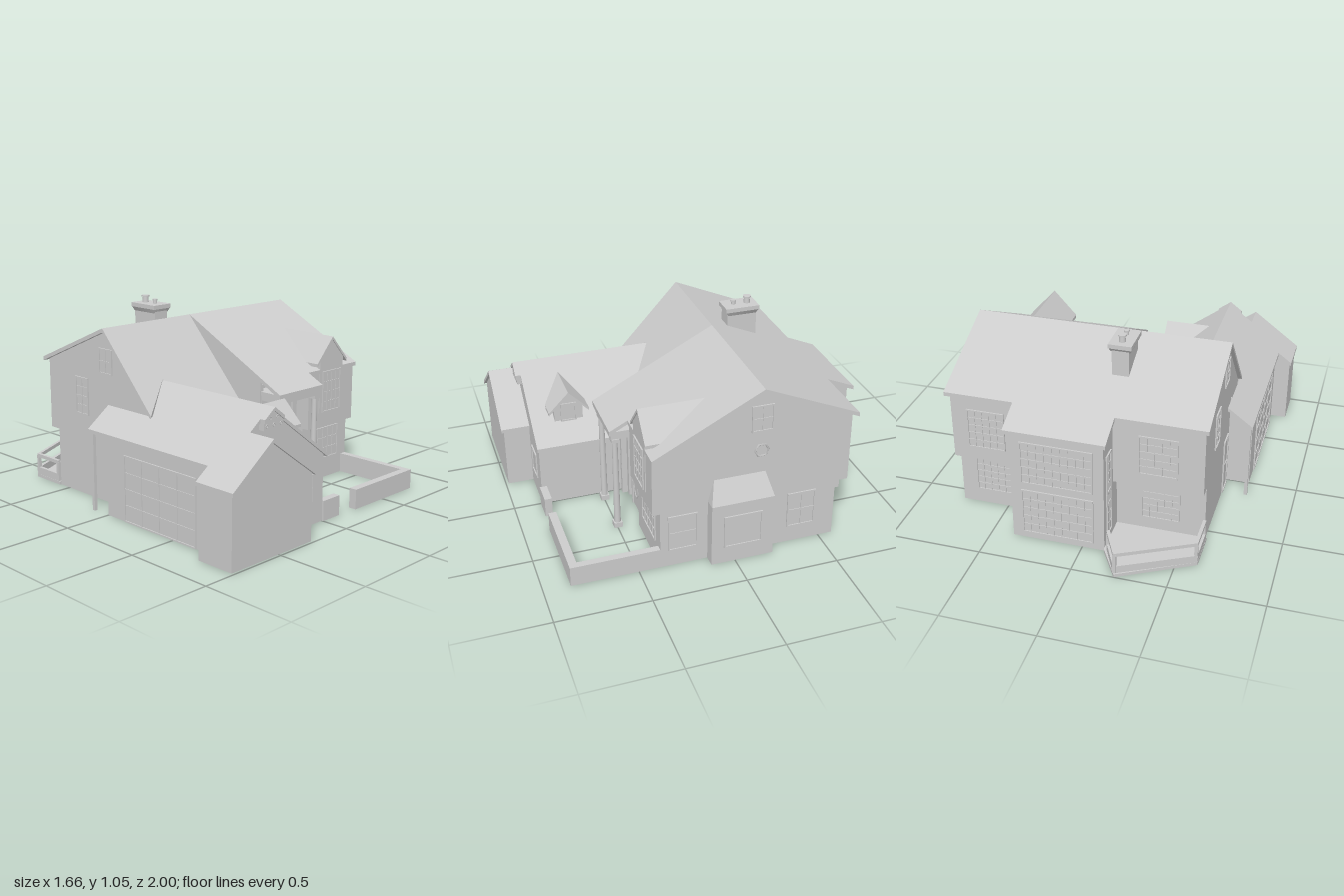
import * as THREE from 'three';

const mat = new THREE.MeshStandardMaterial({ color: 0xcccccc, side: THREE.DoubleSide });
const PI = Math.PI;

export function createModel() {
  const house = new THREE.Group();
  house.name = 'house';

  const add = (name, geo, parent = house) => {
    const m = new THREE.Mesh(geo, mat);
    m.name = name;
    parent.add(m);
    return m;
  };
  const shapeOf = pts => new THREE.Shape(pts.map(p => new THREE.Vector2(p[0], p[1])));
  // box given by its limits
  const box = (name, x0, x1, y0, y1, z0, z1, parent) => add(name,
    new THREE.BoxGeometry(x1 - x0, y1 - y0, z1 - z0)
      .translate((x0 + x1) / 2, (y0 + y1) / 2, (z0 + z1) / 2), parent);
  // wall drawn in (x, y); its outer face lies at z, thickness goes inward
  const T = 0.012;
  const wallZ = (name, pts, z, out = 1) => add(name,
    new THREE.ExtrudeGeometry(shapeOf(pts), { depth: T, bevelEnabled: false })
      .translate(0, 0, out > 0 ? z - T : z));
  // wall drawn in (z, y); its outer face lies at x
  const wallX = (name, pts, x, out = 1) => add(name,
    new THREE.ExtrudeGeometry(shapeOf(pts.map(p => [-p[0], p[1]])), { depth: T, bevelEnabled: false })
      .rotateY(PI / 2).translate(out > 0 ? x - T : x, 0, 0));
  const rect = (a, b, y0, y1) => [[a, y0], [b, y0], [b, y1], [a, y1]];
  // slab over a plan in (x, z) whose top follows a height rule
  const slab = (name, plan, height, t = 0.022) => {
    const g = new THREE.ExtrudeGeometry(shapeOf(plan.map(p => [p[0], -p[1]])), { depth: t, bevelEnabled: false })
      .rotateX(-PI / 2);
    const p = g.attributes.position;
    for (let i = 0; i < p.count; i++) p.setY(i, p.getY(i) - t + height(p.getX(i), p.getZ(i)));
    g.computeVertexNormals();
    return add(name, g);
  };
  // framed window with glazing bars, facing +z before turning
  const win = (name, x, y, z, w, h, nx, ny, turn = 0) => {
    const g = new THREE.Group(), f = 0.008;
    g.name = name;
    box('pane', -w / 2, w / 2, -h / 2, h / 2, -0.004, 0.002, g);
    for (const s of [-1, 1]) {
      box('frameSide', s * w / 2 - f / 2, s * w / 2 + f / 2, -h / 2, h / 2, 0, 0.008, g);
      box('frameRail', -w / 2 - f / 2, w / 2 + f / 2, s * h / 2 - f / 2, s * h / 2 + f / 2, 0, 0.008, g);
    }
    for (let i = 1; i < nx; i++) box('bar', -w / 2 + w * i / nx - 0.002, -w / 2 + w * i / nx + 0.002, -h / 2, h / 2, 0, 0.006, g);
    for (let i = 1; i < ny; i++) box('bar', -w / 2, w / 2, -h / 2 + h * i / ny - 0.002, -h / 2 + h * i / ny + 0.002, 0, 0.006, g);
    g.position.set(x, y, z);
    g.rotation.y = turn;
    house.add(g);
  };

  // main roof: shallow back, steep front over the garage side, shallow front over the entrance
  const backH = (x, z) => 0.96 - 0.43 * (-0.155 - z);
  const frontH = (x, z) => 0.96 - 0.51 * (z + 0.155);
  slab('mainRoofBack', [[-0.62, -0.155], [0.78, -0.155], [0.78, -0.68], [0.4, -0.68], [0.4, -0.84],
    [-0.14, -0.84], [-0.14, -0.68], [-0.62, -0.68]], backH);
  slab('mainRoofFront', [[0.01, -0.155], [0.78, -0.155], [0.78, 0.43], [0.36, 0.43], [0.36, 0.53], [0.01, 0.53]], frontH);
  slab('mainRoofSteep', [[-0.62, -0.155], [0.01, -0.155], [0.01, 0.37], [-0.42, 0.09], [-0.62, 0.22]],
    (x, z) => 0.96 - 1.08 * (z + 0.155));

  // main walls; the upper storey overhangs the lower one
  wallX('gableWallLeft', [[0.385, 0], [0.385, 0.335], [0.425, 0.335], [0.425, 0.65], [-0.155, 0.945],
    [-0.65, 0.725], [-0.65, 0.335], [-0.58, 0.335], [-0.58, 0]], 0.76);
  wallX('gableWallRight', [[0.2, 0], [0.2, 0.55], [-0.155, 0.94], [-0.65, 0.725], [-0.65, 0.335],
    [-0.58, 0.335], [-0.58, 0]], -0.6, -1);
  wallX('roofStepWall', [[0.385, 0], [0.385, 0.66], [-0.155, 0.945]], 0.015, -1);
  wallX('entranceSideWall', rect(0.34, 0.385, 0, 0.64), 0.03, -1);
  wallZ('entranceWall', rect(0.015, 0.37, 0, 0.68), 0.34);
  wallX('entranceReturn', rect(0.34, 0.425, 0.335, 0.66), 0.37, -1);
  wallX('entranceReturnLower', rect(0.34, 0.385, 0, 0.335), 0.37, -1);
  wallZ('frontWallLower', rect(0.37, 0.76, 0, 0.335), 0.385);
  wallZ('frontWallUpper', rect(0.37, 0.76, 0.335, 0.655), 0.425);
  box('frontSoffit', 0.37, 0.76, 0.33, 0.34, 0.38, 0.425);
  for (const [a, b] of [[-0.6, -0.12], [0.38, 0.76]]) {
    wallZ('backWallLower', rect(a, b, 0, 0.335), -0.58, -1);
    wallZ('backWallUpper', rect(a, b, 0.335, 0.73), -0.65, -1);
    box('backSoffit', a, b, 0.33, 0.34, -0.65, -0.575);
  }
  wallZ('backBlockWall', rect(-0.12, 0.38, 0, 0.665), -0.81, -1);
  for (const [x, s] of [[0.38, 1], [-0.12, -1]])
    wallX('backBlockSide', [[-0.81, 0], [-0.58, 0], [-0.58, 0.76], [-0.81, 0.665]], x, s);

  // front dormer
  const dormerH = x => 0.84 - 1.08 * Math.abs(x - 0.56);
  for (const s of [-1, 1]) {
    slab('frontDormerRoof', [[0.56, 0.08], [0.56, 0.435], [0.56 + s * 0.13, 0.435], [0.56 + s * 0.13, 0.355]], dormerH, 0.018);
    wallX('frontDormerCheek', [[0.43, 0.64], [0.43, 0.72], [0.33, 0.72]], 0.56 + s * 0.1, s);
  }
  wallZ('frontDormerWall', [[0.46, 0.41], [0.66, 0.41], [0.66, 0.72], [0.56, 0.825], [0.46, 0.72]], 0.43);
  win('frontUpperWindow', 0.56, 0.53, 0.43, 0.15, 0.23, 4, 4);
  win('frontLowerWindow', 0.57, 0.21, 0.385, 0.22, 0.18, 5, 3);

  // porch: entablature and columns
  box('entablature', 0.03, 0.35, 0.555, 0.585, 0.34, 0.52);
  box('cornice', 0.02, 0.36, 0.585, 0.605, 0.34, 0.53);
  for (const x of [0.06, 0.335]) {
    box('columnBase', x - 0.023, x + 0.023, 0, 0.03, 0.473, 0.519);
    add('column', new THREE.CylinderGeometry(0.015, 0.018, 0.51, 20).translate(x, 0.285, 0.496));
    box('columnCapital', x - 0.021, x + 0.021, 0.535, 0.556, 0.475, 0.517);
    box('pilaster', x - 0.015, x + 0.015, 0, 0.555, 0.335, 0.355);
  }

  // front door with oval pane and fanlight
  box('frontDoor', 0.155, 0.275, 0, 0.225, 0.34, 0.35);
  for (const x of [0.146, 0.276]) box('doorJamb', x, x + 0.01, 0, 0.235, 0.34, 0.358);
  add('ovalPane', new THREE.TorusGeometry(0.035, 0.003, 6, 32).scale(1, 1.6, 1).translate(0.215, 0.13, 0.352));
  add('fanlight', new THREE.TorusGeometry(0.062, 0.005, 6, 24, PI).translate(0.215, 0.24, 0.347));
  add('fanlightHub', new THREE.TorusGeometry(0.022, 0.003, 6, 16, PI).translate(0.215, 0.24, 0.347));
  box('fanlightSill', 0.148, 0.282, 0.235, 0.243, 0.34, 0.355);
  for (let i = 1; i < 6; i++)
    add('fanlightBar', new THREE.BoxGeometry(0.042, 0.004, 0.008).translate(0.042, 0, 0)
      .rotateZ(PI * i / 6).translate(0.215, 0.24, 0.345));

  // gable windows and the bay with its lean-to roof
  win('gableWindowFront', 0.76, 0.2, 0.265, 0.15, 0.2, 2, 2, PI / 2);
  win('gableWindowBack', 0.76, 0.2, -0.39, 0.15, 0.2, 2, 2, PI / 2);
  win('atticWindow', 0.76, 0.79, -0.155, 0.11, 0.14, 2, 2, PI / 2);
  add('hexagonWindow', new THREE.TorusGeometry(0.037, 0.006, 4, 6).rotateY(PI / 2).translate(0.763, 0.605, -0.155));
  box('bay', 0.755, 0.825, 0, 0.355, -0.21, 0.13);
  const bayRoof = new THREE.BoxGeometry(0.07, 0.12, 0.34);
  const bp = bayRoof.attributes.position;
  for (let i = 0; i < bp.count; i++)
    if (bp.getY(i) > 0) { bp.setX(i, -0.03); bp.setZ(i, bp.getZ(i) * 0.82); }
  bayRoof.computeVertexNormals();
  add('bayRoof', bayRoof.translate(0.79, 0.415, -0.04));
  win('bayWindow', 0.825, 0.19, -0.04, 0.2, 0.18, 1, 1, PI / 2);
  for (const [y, h] of [[0.44, 0.22], [0.195, 0.25]]) {
    win('blockSideWindow', 0.38, y, -0.715, 0.1, h, 2, 4, PI / 2);
    win('blockSideWindow', -0.12, y, -0.73, 0.07, h, 2, 4, -PI / 2);
  }

  // rear windows and right gable windows
  win('rearBlockWindowUpper', 0.13, 0.47, -0.81, 0.38, 0.24, 9, 5, PI);
  win('rearBlockWindowLower', 0.13, 0.17, -0.81, 0.38, 0.26, 9, 5, PI);
  for (const x of [-0.36, 0.57]) {
    win('rearUpperWindow', x, 0.52, -0.65, 0.2, 0.22, 5, 5, PI);
    win('rearLowerWindow', x, 0.19, -0.58, 0.2, 0.2, 5, 5, PI);
  }
  win('rightGableWindow', -0.6, 0.56, -0.36, 0.1, 0.2, 2, 4, -PI / 2);
  win('rightGableAttic', -0.6, 0.78, -0.155, 0.1, 0.13, 2, 2, -PI / 2);
  win('sideDoor', -0.6, 0.17, -0.09, 0.1, 0.32, 1, 2, -PI / 2);

  // chimney with flared cap and two pots
  box('chimneyStack', -0.145, -0.055, 0.8, 0.985, -0.44, -0.27);
  add('chimneyFlare', new THREE.CylinderGeometry(0.0707, 0.06, 0.025, 4).rotateY(PI / 4)
    .scale(1.22, 1, 1.9).translate(-0.1, 0.982, -0.355));
  box('chimneyCap', -0.162, -0.038, 0.992, 1.015, -0.452, -0.258);
  for (const [z, r, h] of [[-0.4, 0.018, 0.04], [-0.32, 0.012, 0.026]]) {
    add('chimneyPot', new THREE.CylinderGeometry(r * 0.85, r, h, 16).translate(-0.1, 1.013 + h / 2, z));
    add('potRim', new THREE.CylinderGeometry(r * 1.25, r * 1.25, 0.008, 16).translate(-0.1, 1.011 + h, z));
  }

  // garage roofs
  const garageH = x => 0.692 - 0.74 * Math.abs(x + 0.42);
  slab('garageRoofRight', [[-0.75, -0.13], [-0.61, -0.13], [-0.61, 0.22], [-0.42, 0.09], [-0.42, 0.88], [-0.49, 0.88],
    [-0.49, 0.85], [-0.56, 0.85], [-0.56, 1], [-0.83, 1], [-0.83, 0.76], [-0.75, 0.76]], garageH, 0.02);
  slab('garageRoofLeft', [[-0.42, 0.09], [0.02, 0.37], [0.02, 0.85], [-0.35, 0.85], [-0.35, 0.88], [-0.42, 0.88]], garageH, 0.02);
  slab('wingRoof', [[-0.56, 0.83], [-0.25, 0.83], [-0.25, 1], [-0.56, 1]], x => 0.588 - 0.72 * (x + 0.56), 0.02);

  // garage walls
  wallZ('garageFrontWall', [[-0.26, 0], [0, 0], [0, 0.36], [-0.42, 0.675], [-0.57, 0.565], [-0.26, 0.34]], 0.84);
  wallZ('wingFrontWall', [[-0.82, 0], [-0.26, 0], [-0.26, 0.355], [-0.56, 0.572], [-0.82, 0.38]], 0.985);
  wallX('wingLeftWall', rect(0.84, 0.985, 0, 0.355), -0.26);
  wallX('wingRightWall', rect(0.77, 0.985, 0, 0.38), -0.82, -1);
  wallZ('wingBackWall', [[-0.82, 0], [-0.73, 0], [-0.73, 0.445], [-0.82, 0.38]], 0.77, -1);
  wallX('garageRightWall', rect(0, 0.77, 0, 0.445), -0.73, -1);
  wallZ('garageBackWall', [[-0.73, 0], [-0.6, 0], [-0.6, 0.54], [-0.73, 0.44]], 0, -1);
  wallX('garageLeftWall', rect(0.34, 0.84, 0, 0.365), 0);
  win('garageWindow', -0.14, 0.195, 0.84, 0.11, 0.145, 1, 1);
  win('garageDoor', -0.73, 0.18, 0.4, 0.52, 0.35, 4, 4, -PI / 2);
  box('sidePorchPost', -0.74, -0.722, 0, 0.44, -0.12, -0.102);

  // dovecote under the garage ridge
  wallZ('dovecote', [[-0.49, 0.585], [-0.35, 0.585], [-0.35, 0.63], [-0.42, 0.68], [-0.49, 0.63]], 0.872);
  box('dovecoteBox', -0.49, -0.35, 0.585, 0.63, 0.83, 0.865);
  for (const [x, y] of [[-0.47, 0.605], [-0.42, 0.605], [-0.37, 0.605], [-0.445, 0.64], [-0.395, 0.64]])
    add('dovecoteHole', new THREE.TorusGeometry(0.007, 0.002, 6, 14).translate(x, y, 0.873));

  // garage dormer
  for (const s of [-1, 1]) {
    slab('garageDormerRoof', [[-0.34, 0.642], [-0.08, 0.642], [-0.08, 0.642 + s * 0.113], [-0.19, 0.642 + s * 0.113]],
      (x, z) => 0.632 - Math.abs(z - 0.642), 0.015);
    wallZ('garageDormerCheek', [[-0.1, 0.44], [-0.1, 0.55], [-0.24, 0.55]], 0.642 + s * 0.08, s);
  }
  wallX('garageDormerWall', [[0.562, 0.44], [0.722, 0.44], [0.722, 0.54], [0.642, 0.62], [0.562, 0.54]], -0.1);
  win('garageDormerWindow', -0.1, 0.505, 0.642, 0.08, 0.1, 1, 1, PI / 2);

  // low garden walls
  box('gardenWallShort', 0, 0.13, 0, 0.11, 0.81, 0.85);
  box('gardenWallFront', 0.26, 0.76, 0, 0.11, 0.815, 0.858);
  box('gardenWallSide', 0.722, 0.76, 0, 0.11, 0.385, 0.815);

  // rear terrace: floor, low wall, posts and rail
  const path = [[-0.6, -0.6], [-0.6, -0.785], [-0.225, -0.98], [-0.145, -0.82]];
  slab('terraceFloor', [[-0.61, -0.58], [-0.61, -0.79], [-0.225, -1], [-0.12, -0.82], [-0.12, -0.58]], () => 0.018, 0.018);
  for (let i = 0; i < 3; i++) {
    const [a, b] = [path[i], path[i + 1]];
    const dx = b[0] - a[0], dz = b[1] - a[1], len = Math.hypot(dx, dz);
    for (const [name, y0, y1] of [['terraceWall', 0.018, 0.06], ['terraceRail', 0.12, 0.14]])
      add(name, new THREE.BoxGeometry(len + 0.012, y1 - y0, 0.018).rotateY(-Math.atan2(dz, dx))
        .translate((a[0] + b[0]) / 2, (y0 + y1) / 2, (a[1] + b[1]) / 2));
  }
  for (const [x, z] of path) box('terracePost', x - 0.009, x + 0.009, 0.018, 0.13, z - 0.009, z + 0.009);

  return house;
}
